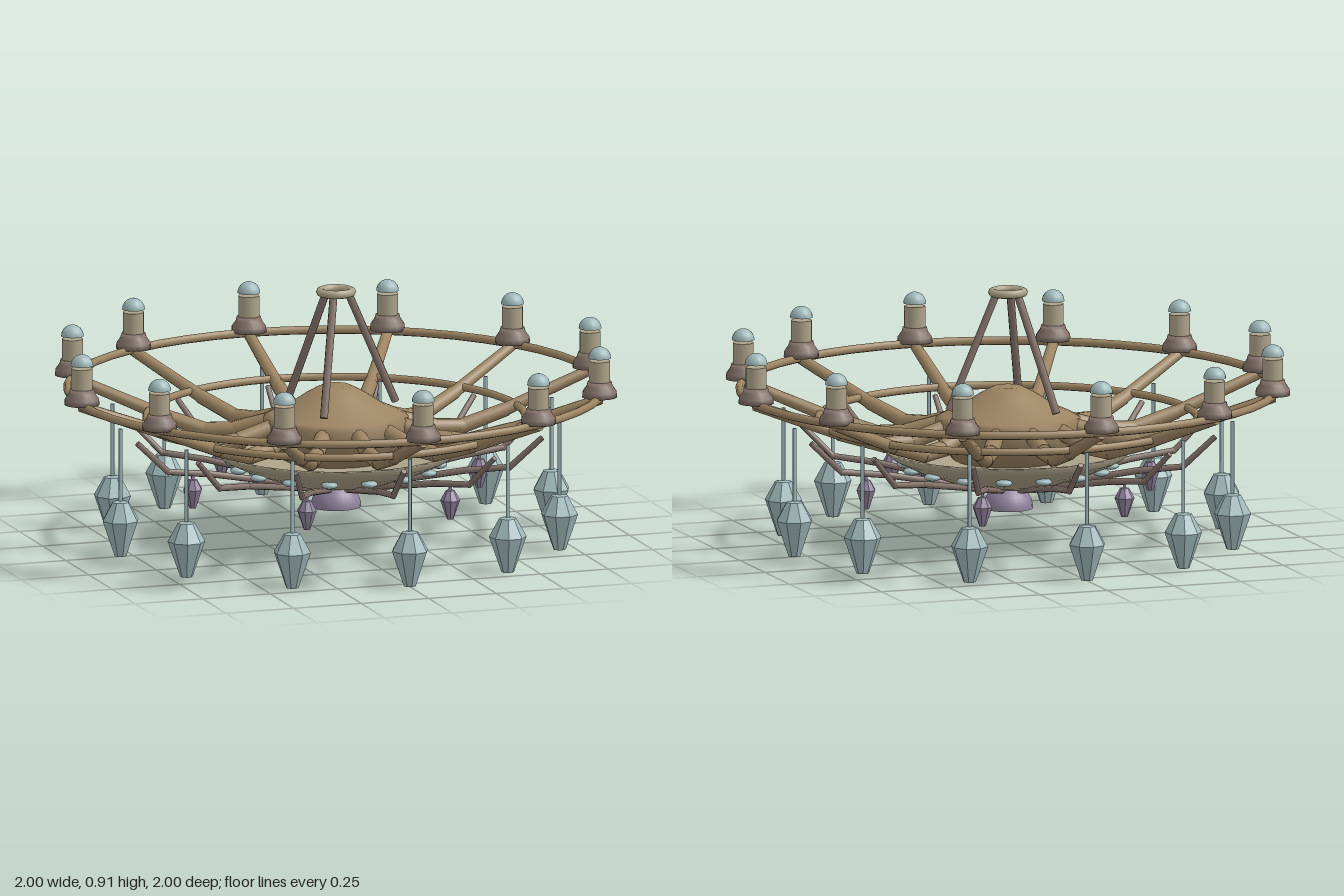
import * as THREE from 'three';

const material = (name, color, extra = {}) => {
  const m = new THREE.MeshStandardMaterial({ color, ...extra });
  m.name = name;
  return m;
};
const V = (x, y, z = 0) => new THREE.Vector3(x, y, z);

export function createModel() {
  const bronze = material('bronze', 0x9c8462);
  const mauve = material('darkBronze', 0x84726a);
  const stone = material('paleStone', 0xaea48a, { side: THREE.DoubleSide });
  const ice = material('paleBlueGlass', 0xa0b9bb, { side: THREE.DoubleSide });
  const iceFacet = material('paleBlueFacets', 0xa0b9bb, { flatShading: true });
  const purple = material('violetGlass', 0x8f819b, { side: THREE.DoubleSide });
  const purpleFacet = material('violetFacets', 0x8f819b, { flatShading: true });

  const root = new THREE.Group();
  root.name = 'chandelier';

  const add = (parent, name, geometry, mat, x = 0, y = 0, z = 0) => {
    const mesh = new THREE.Mesh(geometry, mat);
    mesh.name = name;
    mesh.position.set(x, y, z);
    parent.add(mesh);
    return mesh;
  };
  const lathe = (pts, sides) =>
    new THREE.LatheGeometry(pts.map(p => new THREE.Vector2(...p)), sides);
  // Straight round bar between two points
  const bar = (parent, name, a, b, r1, r2, mat, sides = 10) => {
    const d = b.clone().sub(a);
    const mesh = add(parent, name, new THREE.CylinderGeometry(r2, r1, d.length(), sides), mat);
    mesh.position.copy(a).add(b).multiplyScalar(0.5);
    mesh.quaternion.setFromUnitVectors(V(0, 1, 0), d.normalize());
  };
  // Builds a part along +x, then turns it about the centre
  const radial = (name, count, build) => {
    for (let i = 0; i < count; i++) {
      const g = new THREE.Group();
      g.name = name;
      g.rotation.y = (i / count) * Math.PI * 2;
      build(g);
      root.add(g);
    }
  };
  const ring = (name, radius, tube, y, mat, sides = 48) => {
    add(root, name, new THREE.TorusGeometry(radius, tube, 8, sides), mat, 0, y).rotation.x = Math.PI / 2;
  };

  // Rings
  ring('outerRing', 0.94, 0.015, 0.555, bronze);
  ring('innerRing', 0.665, 0.014, 0.447, bronze);
  ring('hangingRing', 0.055, 0.015, 0.897, stone, 24);

  // Hub with domed top
  add(root, 'hub', lathe([[0, 0.3], [0.19, 0.3], [0.25, 0.38], [0.255, 0.45], [0.23, 0.463],
    [0.17, 0.49], [0.11, 0.53], [0.075, 0.55], [0.05, 0.562], [0, 0.562]], 24), bronze);

  // Wide dish and the open cup beneath it
  add(root, 'dish', lathe([[0, 0.2], [0.1, 0.207], [0.22, 0.235], [0.34, 0.28], [0.41, 0.315],
    [0.435, 0.34], [0.42, 0.343], [0.34, 0.31], [0, 0.3]], 32), stone);
  add(root, 'bottomCup', new THREE.SphereGeometry(0.088, 20, 8, 0, Math.PI * 2, 0, Math.PI / 2),
    purple, 0, 0.13);

  // Suspension legs
  radial('suspensionLeg', 3, g => {
    bar(g, 'leg', V(0.045, 0.89), V(0.22, 0.49), 0.014, 0.014, mauve, 8);
  });

  const cup = lathe([[0, 0.56], [0.062, 0.56], [0.06, 0.58], [0.046, 0.6], [0.042, 0.615], [0, 0.615]], 16);
  const candle = new THREE.CylinderGeometry(0.037, 0.037, 0.09, 16);
  const bulb = new THREE.SphereGeometry(0.04, 16, 6, 0, Math.PI * 2, 0, Math.PI / 2);
  const drop = lathe([[0, 0.005], [0.022, 0.008], [0.066, 0.135], [0.03, 0.2], [0, 0.205]], 8);

  radial('arm', 12, g => {
    // Bent main arm
    bar(g, 'armRoot', V(0.13, 0.462), V(0.36, 0.39), 0.027, 0.03, bronze);
    bar(g, 'armBend', V(0.34, 0.39), V(0.47, 0.382), 0.029, 0.028, bronze);
    bar(g, 'armMiddle', V(0.45, 0.378), V(0.63, 0.432), 0.027, 0.025, bronze);
    bar(g, 'armOuter', V(0.61, 0.425), V(0.945, 0.552), 0.023, 0.019, bronze);

    // Candle with its glass tip
    add(g, 'candleCup', cup, mauve, 0.94);
    add(g, 'candle', candle, stone, 0.94, 0.644);
    add(g, 'candleTip', bulb, ice, 0.94, 0.699);

    // Hanging faceted drop
    add(g, 'drop', drop, iceFacet, 0.797);
    bar(g, 'dropRod', V(0.797, 0.19), V(0.797, 0.462), 0.007, 0.007, ice, 6);

    // Slim lower arm
    bar(g, 'lowerArmInner', V(0.12, 0.212), V(0.47, 0.278), 0.011, 0.012, mauve, 8);
    bar(g, 'lowerArmMiddle', V(0.46, 0.276), V(0.62, 0.295), 0.012, 0.011, mauve, 8);
    bar(g, 'lowerArmTip', V(0.615, 0.29), V(0.735, 0.405), 0.011, 0.01, mauve, 8);
  });

  // Small violet drops
  radial('violetDrop', 6, g => {
    add(g, 'smallDrop', drop, purpleFacet, 0.53, 0.155).scale.setScalar(0.53);
    bar(g, 'smallDropRod', V(0.53, 0.255), V(0.53, 0.29), 0.006, 0.006, purple, 6);
  });

  // Glass studs under the dish rim
  const stud = new THREE.SphereGeometry(0.03, 12, 8);
  radial('stud', 16, g => {
    add(g, 'glassStud', stud, ice, 0.36, 0.282).scale.set(1, 0.45, 1);
  });

  return root;
}
